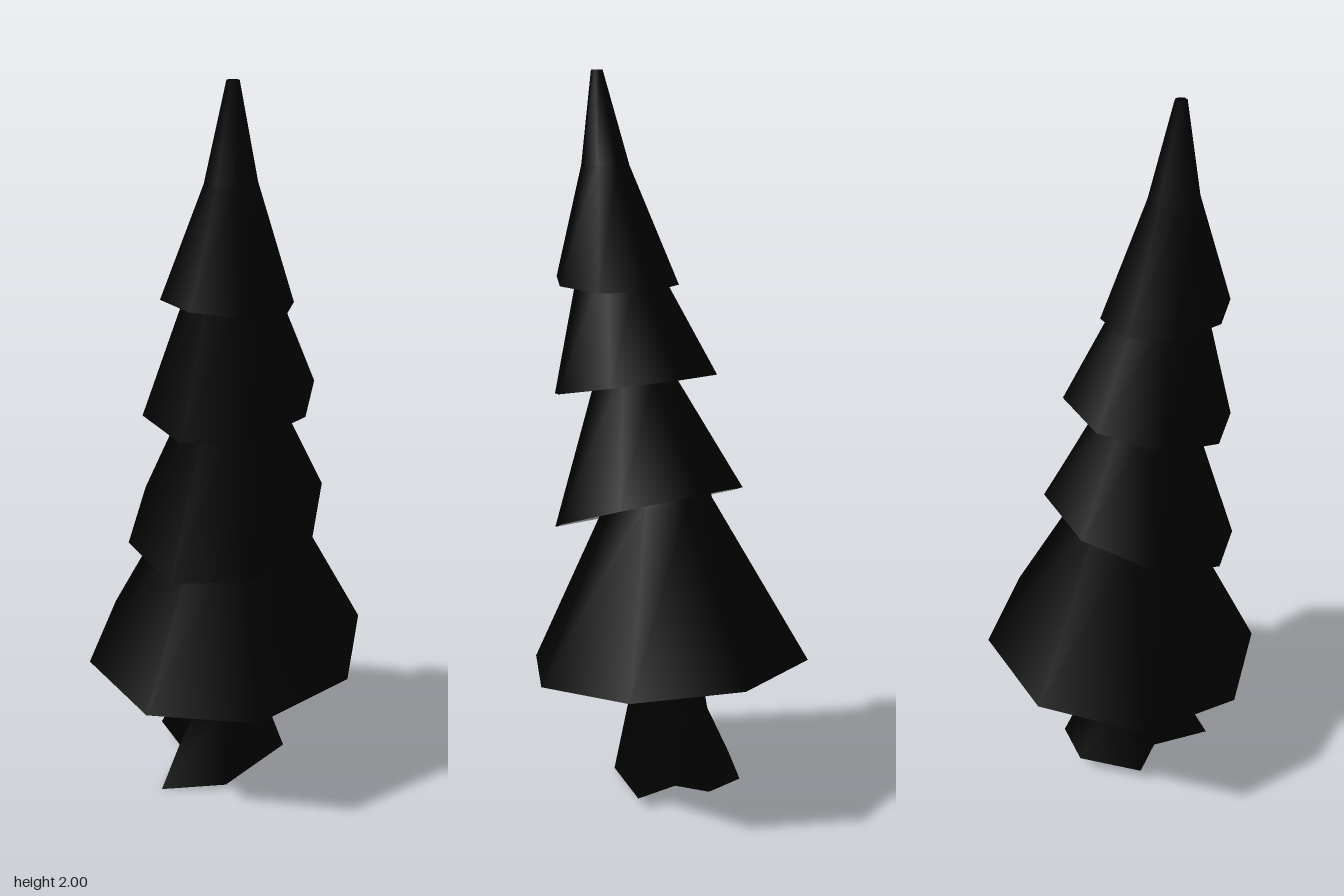
import * as THREE from 'three';

const bark = new THREE.MeshStandardMaterial({ color: 0x000000 });
const lining = new THREE.MeshStandardMaterial({ color: 0xcccccc });

// Eight-point ring around (x, y, z); tiltX and tiltZ slope its plane
function ring(x, y, z, r, tiltX = 0, tiltZ = 0) {
  return Array.from({ length: 8 }, (_, i) => {
    const a = 0.1 + (i / 8) * Math.PI * 2;
    const dx = Math.cos(a) * r, dz = Math.sin(a) * r;
    return [x + dx, y + dx * tiltX + dz * tiltZ, z + dz];
  });
}

// Ring drawn slightly towards its own centre
function inset(points) {
  const cx = points.reduce((s, p) => s + p[0], 0) / points.length;
  const cz = points.reduce((s, p) => s + p[2], 0) / points.length;
  return points.map(([x, y, z]) => {
    const d = Math.hypot(x - cx, z - cz), k = Math.max(0.1, 1 - 0.005 / d);
    return [cx + (x - cx) * k, y, cz + (z - cz) * k];
  });
}

// Skin joining successive rings, facing outward or inward
function skin(rings, inward) {
  const n = rings[0].length, index = [];
  for (let k = 0; k < rings.length - 1; k++) {
    for (let i = 0; i < n; i++) {
      const a = k * n + i, b = k * n + (i + 1) % n, c = a + n, d = b + n;
      if (inward) index.push(a, b, c, b, d, c);
      else index.push(a, c, b, b, c, d);
    }
  }
  const g = new THREE.BufferGeometry();
  g.setAttribute('position', new THREE.Float32BufferAttribute(rings.flat(2), 3));
  g.setIndex(index);
  g.computeVertexNormals();
  return g;
}

// Dark outer skin with a thin rim and a pale inner side
function shell(name, rings) {
  const group = new THREE.Group();
  group.name = name;
  const innerRings = rings.map(inset);
  const outer = new THREE.Mesh(skin([innerRings[0], ...rings], false), bark);
  outer.name = name + 'Outside';
  const inner = new THREE.Mesh(skin(innerRings, true), lining);
  inner.name = name + 'Inside';
  group.add(outer, inner);
  return group;
}

export function createModel() {
  const tree = new THREE.Group();
  tree.name = 'tree';

  // Trunk: uneven root flare, narrowing to a straight stem
  const roots = [
    [0.155, 0.03, -0.07], [0.08, 0.01, 0.16], [-0.08, 0, 0.25], [-0.12, 0.03, 0.07],
    [-0.22, 0.04, 0], [-0.13, 0.045, -0.165], [-0.005, 0.05, -0.185], [0.05, 0.05, -0.1],
  ];
  tree.add(shell('trunk', [
    roots, ring(-0.012, 0.23, 0.02, 0.118), ring(0, 0.4, 0.027, 0.104), ring(0.01, 0.8, 0.03, 0.09),
  ]));

  // Branch tiers: tilted skirt, then a neck running up inside the next tier
  tree.add(shell('bottomTier', [
    ring(0, 0.39, 0, 0.397, 0, -0.11), ring(0.02, 0.86, 0.015, 0.148, 0, -0.1), ring(0.035, 1.02, 0.045, 0.14),
  ]));
  tree.add(shell('lowerMiddleTier', [
    ring(0.03, 0.823, 0.06, 0.27, 0, -0.365), ring(0.055, 1.2, 0.085, 0.108, 0, -0.15), ring(0.065, 1.36, 0.11, 0.09),
  ]));
  tree.add(shell('upperMiddleTier', [
    ring(0.052, 1.17, 0.085, 0.23, 0, -0.21), ring(0.078, 1.5, 0.125, 0.108), ring(0.088, 1.66, 0.145, 0.06),
  ]));
  // Top tier with a slender closed tip
  tree.add(shell('topTier', [
    ring(0.073, 1.45, 0.135, 0.172, -0.04, 0.08), ring(0.093, 1.755, 0.157, 0.067),
    ring(0.106, 2, 0.173, 0.016), ring(0.106, 2, 0.173, 0.0001),
  ]));
  return tree;
}
